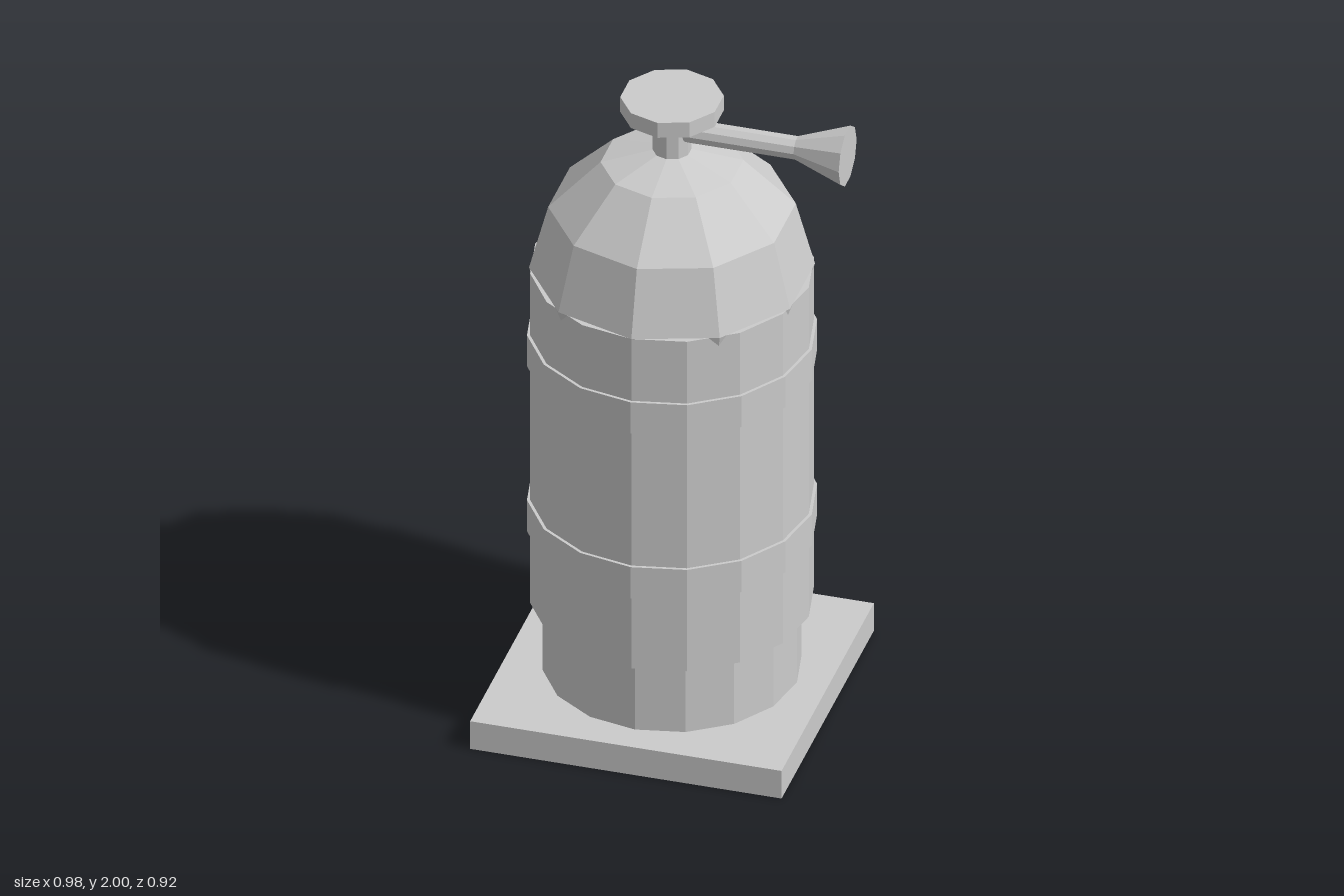
import * as THREE from 'three';

const material = new THREE.MeshStandardMaterial({ color: 0xcccccc, flatShading: true });

export function createModel() {
  const model = new THREE.Group();
  model.name = 'gasCylinder';
  const axisX = -0.03; // the tank stands off centre to balance the nozzle

  function add(name, geometry, x, y) {
    const mesh = new THREE.Mesh(geometry, material);
    mesh.name = name;
    mesh.position.set(x, y, 0);
    model.add(mesh);
    return mesh;
  }

  // Upright prism between two heights
  function drum(name, radius, y0, y1, sides) {
    return add(name, new THREE.CylinderGeometry(radius, radius, y1 - y0, sides), axisX, (y0 + y1) / 2);
  }

  // Sideways round part between two x positions
  function sideways(name, r0, r1, x0, x1) {
    const geometry = new THREE.CylinderGeometry(r1, r0, x1 - x0, 10).rotateZ(-Math.PI / 2);
    return add(name, geometry, (x0 + x1) / 2, 1.893);
  }

  // Square base plate and foot
  add('basePlate', new THREE.BoxGeometry(0.922, 0.093, 0.922), axisX, 0.0465);
  drum('foot', 0.37, 0.09, 0.33, 16);

  // Tank body with two raised bands
  drum('body', 0.405, 0.32, 1.43, 16);
  drum('lowerBand', 0.414, 0.562, 0.667, 16);
  drum('upperBand', 0.414, 1.118, 1.222, 16);

  // Faceted dome, its lower half sunk in the body
  add('dome', new THREE.SphereGeometry(0.406, 10, 6).rotateY(Math.PI / 2), axisX, 1.43);

  // Valve neck and hand wheel
  drum('valveNeck', 0.055, 1.78, 1.96, 10);
  drum('valveWheel', 0.147, 1.95, 2.0, 10);

  // Outlet pipe and flared nozzle
  sideways('outletPipe', 0.035, 0.035, axisX, 0.342);
  sideways('nozzle', 0.035, 0.09, 0.34, 0.49);

  return model;
}
